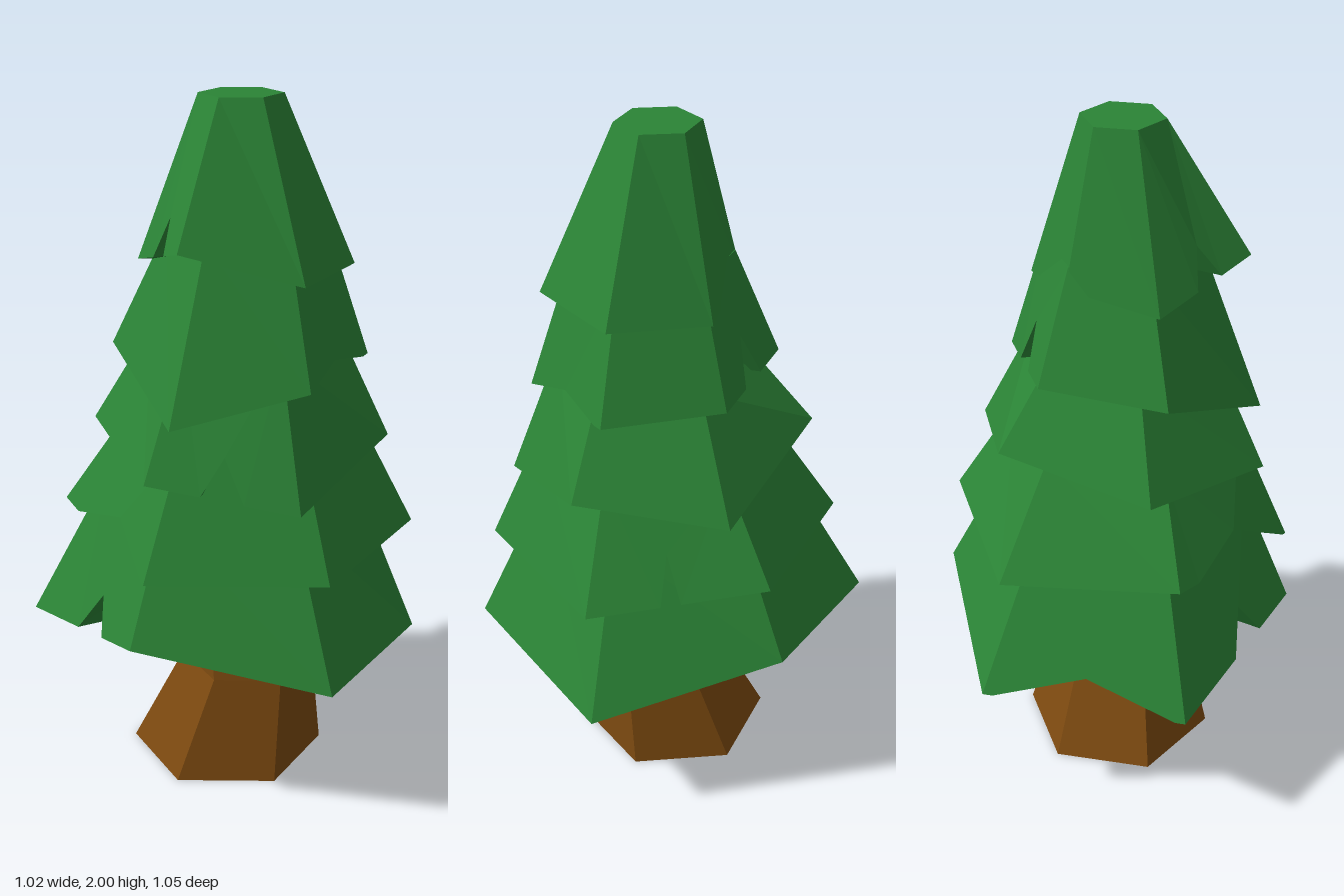
import * as THREE from 'three';

const leafMaterial = new THREE.MeshStandardMaterial({ color: 0x2b8436, flatShading: true });
const barkMaterial = new THREE.MeshStandardMaterial({ color: 0x7d4a10, flatShading: true });

// Point at an angle round an upright axis; zero degrees is the front
function around(x, y, z, radius, degrees) {
  const a = THREE.MathUtils.degToRad(degrees);
  return new THREE.Vector3(x + radius * Math.sin(a), y, z + radius * Math.cos(a));
}

// Regular hexagon: front corner first, then counterclockwise seen from above
const hexagon = (x, y, z, radius, twist = 0) =>
  Array.from({ length: 6 }, (_, i) => around(x, y, z, radius, i * 60 + twist));

function meshFrom(triangles, material, name) {
  const geometry = new THREE.BufferGeometry().setFromPoints(triangles.flat());
  geometry.computeVertexNormals();
  const mesh = new THREE.Mesh(geometry, material);
  mesh.name = name;
  return mesh;
}

const quad = (a, b, c, d) => [[a, b, c], [a, c, d]];
const flip = (triangles) => triangles.map(([a, b, c]) => [a, c, b]);
const cap = (ring) => ring.slice(2).map((p, i) => [ring[0], ring[i + 1], p]);

// Side panel between two top corners and a lower edge that may hold a notch
function panel(edge, t0, t1) {
  const mid = Math.floor(edge.length / 2);
  const out = [[t0, edge[mid], t1]];
  for (let i = 0; i < edge.length - 1; i++) {
    out.push([edge[i], edge[i + 1], i < mid ? t0 : t1]);
  }
  return out;
}

// Lower edge of a panel, with a notch whose tip lies on the panel
function lowerEdge(a, b, t0, t1, notch) {
  if (!notch) return [a, b];
  const { at, halfWidth, rise } = notch;
  const along = (t) => a.clone().lerp(b, t);
  const tip = along(at);
  const above = t0.clone().lerp(t1, at);
  tip.lerp(above, rise / (above.y - tip.y));
  return [a, along(at - halfWidth), tip, along(at + halfWidth), b];
}

// Tier: six panels, a flat lower lip and a hollow inside
function makeTier({ name, axis, top, twist = 0, radii, heights, notches }) {
  const [cx, cy, cz, radius] = top;
  const upper = hexagon(cx, cy, cz, radius, twist);
  const innerUpper = hexagon(cx, cy - 0.04, cz, radius * 0.55, twist);
  const lower = radii.map((r, i) => around(axis, heights[i], 0, r, i * 60 + twist));
  const inset = (p) => new THREE.Vector3(axis, p.y, 0).lerp(p, 0.72);
  const triangles = [...cap(upper), ...flip(cap(innerUpper))];
  for (let i = 0; i < 6; i++) {
    const j = (i + 1) % 6;
    const notch = notches.find((n) => n.side === i);
    const edge = lowerEdge(lower[i], lower[j], upper[i], upper[j], notch);
    const inner = edge.map(inset);
    triangles.push(...panel(edge, upper[i], upper[j]));
    triangles.push(...flip(panel(inner, innerUpper[i], innerUpper[j])));
    for (let k = 0; k < edge.length - 1; k++) {
      triangles.push(...quad(edge[k], inner[k], inner[k + 1], edge[k + 1]));
    }
  }
  return meshFrom(triangles, leafMaterial, name);
}

// Radii and heights give the lower corners; top is x, y, z and radius
const tiers = [
  {
    name: 'lowestBranchTier', axis: 0, top: [0.015, 0.9, 0.01, 0.36],
    radii: [0.52, 0.587, 0.567, 0.53, 0.59, 0.587],
    heights: [0.555, 0.45, 0.4, 0.555, 0.46, 0.45],
    notches: [
      { side: 4, at: 0.5, halfWidth: 0.45, rise: 0.08 },
      { side: 5, at: 0.6, halfWidth: 0.12, rise: 0.11 },
    ],
  },
  {
    name: 'lowerBranchTier', axis: 0.035, top: [0.055, 1.1, 0.01, 0.33],
    radii: [0.5, 0.505, 0.515, 0.505, 0.515, 0.505],
    heights: [0.755, 0.757, 0.76, 0.81, 0.785, 0.825],
    notches: [
      { side: 2, at: 0.46, halfWidth: 0.055, rise: 0.13 },
      { side: 5, at: 0.57, halfWidth: 0.4, rise: 0.08 },
    ],
  },
  {
    name: 'middleBranchTier', axis: 0.06, top: [0.06, 1.35, 0, 0.27], twist: -9,
    radii: [0.43, 0.42, 0.41, 0.445, 0.443, 0.445],
    heights: [1.01, 0.947, 1.06, 1.015, 1.14, 1.06],
    notches: [{ side: 0, at: 0.5, halfWidth: 0.14, rise: 0.11 }],
  },
  {
    name: 'upperBranchTier', axis: 0.06, top: [0.065, 1.64, 0, 0.22],
    radii: [0.4, 0.348, 0.345, 0.325, 0.345, 0.374],
    heights: [1.17, 1.26, 1.28, 1.3, 1.33, 1.31],
    notches: [
      { side: 1, at: 0.46, halfWidth: 0.45, rise: 0.04 },
      { side: 3, at: 0.5, halfWidth: 0.14, rise: 0.13 },
    ],
  },
  {
    name: 'topBranchTier', axis: 0.06, top: [0.045, 2, 0.003, 0.115],
    radii: [0.35, 0.311, 0.3, 0.26, 0.23, 0.298],
    heights: [1.635, 1.54, 1.54, 1.53, 1.58, 1.55],
    notches: [{ side: 5, at: 0.54, halfWidth: 0.13, rise: 0.1 }],
  },
];

// Trunk: hexagonal sections that bend to one side
function makeTrunk() {
  const rings = [
    hexagon(0, 0, 0, 0.29),
    hexagon(0.072, 0.32, 0, 0.197),
    hexagon(0.035, 0.56, 0, 0.165),
    hexagon(0.03, 0.92, 0, 0.13),
  ];
  const triangles = [...flip(cap(rings[0])), ...cap(rings[3])];
  for (let r = 0; r < 3; r++) {
    for (let i = 0; i < 6; i++) {
      const j = (i + 1) % 6;
      triangles.push(...quad(rings[r][i], rings[r][j], rings[r + 1][j], rings[r + 1][i]));
    }
  }
  return meshFrom(triangles, barkMaterial, 'trunk');
}

export function createModel() {
  const tree = new THREE.Group();
  tree.name = 'pineTree';
  tree.add(makeTrunk(), ...tiers.map(makeTier));
  return tree;
}
